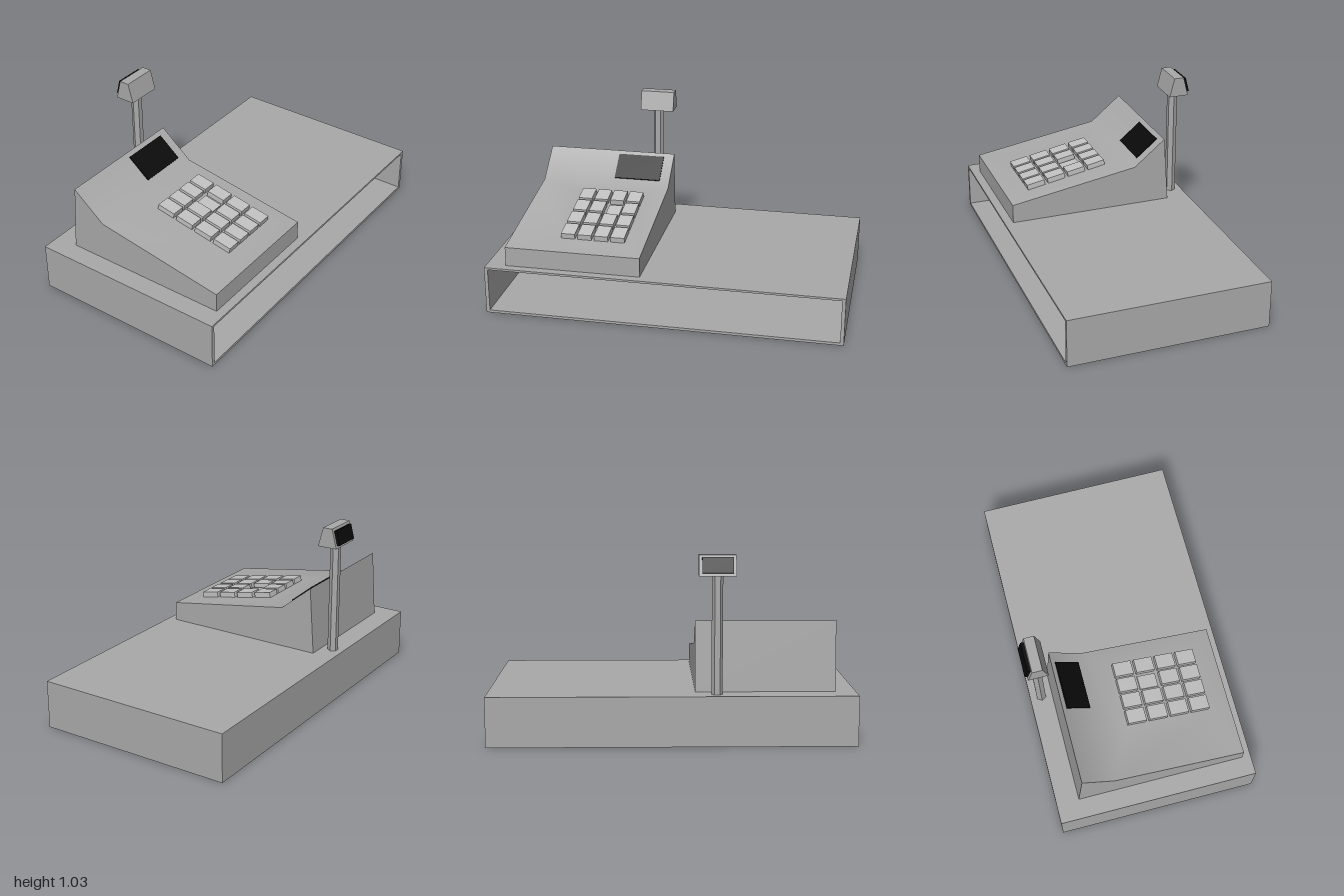
import * as THREE from 'three';

const DS = THREE.DoubleSide;

function mesh(name, geometry, material, x = 0, y = 0, z = 0) {
  const m = new THREE.Mesh(geometry, material);
  m.name = name;
  m.position.set(x, y, z);
  return m;
}

// Prism along x from a side profile of [z, y] points
function sideExtrude(profile, x0, x1) {
  const shape = new THREE.Shape(profile.map(([z, y]) => new THREE.Vector2(-z, y)));
  const g = new THREE.ExtrudeGeometry(shape, { depth: x1 - x0, bevelEnabled: false });
  return g.rotateY(Math.PI / 2).translate(x0, 0, 0);
}

// Surface from corner points and counter-clockwise quads
function quadSurface(points, quads) {
  const g = new THREE.BufferGeometry();
  g.setAttribute('position', new THREE.Float32BufferAttribute(points.flat(), 3));
  g.setIndex(quads.flatMap(([a, b, c, d]) => [a, b, c, a, c, d]));
  g.computeVertexNormals();
  return g;
}

export function createModel() {
  const body = new THREE.MeshStandardMaterial({ color: 0xa9a9a9 });
  body.name = 'body grey';
  body.side = DS;
  const keyGrey = new THREE.MeshStandardMaterial({ color: 0xc2c2c2 });
  keyGrey.name = 'key grey';
  const black = new THREE.MeshStandardMaterial({ color: 0x0a0a0a });
  black.name = 'screen black';

  const model = new THREE.Group();
  model.name = 'cashRegister';

  // Base: hollow casing, open at the front
  const W = 1, H = 0.275, D = 0.572, t = 0.02;
  const casing = new THREE.Group();
  casing.name = 'drawerCasing';
  const outline = new THREE.Shape([[-W, 0], [W, 0], [W, H], [-W, H]].map(p => new THREE.Vector2(...p)));
  outline.holes.push(new THREE.Path(
    [[-W + t, 0.015], [-W + t, H - 0.012], [W - t, H - 0.012], [W - t, 0.015]].map(p => new THREE.Vector2(...p))));
  casing.add(mesh('casingShell',
    new THREE.ExtrudeGeometry(outline, { depth: 2 * D, bevelEnabled: false }), body, 0, 0, -D));
  casing.add(mesh('casingBack',
    new THREE.BoxGeometry(2 * (W - t), H - 0.027, t), body, 0, H / 2 + 0.0015, -D + t / 2));
  model.add(casing);

  // Register housing: flat walls
  const x0 = -0.89, x1 = -0.125;
  const profile = [[0.522, H], [0.522, 0.385], [-0.23, 0.51], [-0.415, 0.662], [-0.443, H]];
  const housing = new THREE.Group();
  housing.name = 'registerHousing';
  const wall = new THREE.ShapeGeometry(new THREE.Shape(profile.map(([z, y]) => new THREE.Vector2(-z, y))));
  wall.rotateY(Math.PI / 2);
  for (const x of [x0, x1]) housing.add(mesh('sideWall', wall, body, x));
  const across = ([z, y]) => [[x0, y, z], [x1, y, z]];
  const panel = (name, a, b) =>
    housing.add(mesh(name, quadSurface([...across(a), ...across(b)], [[0, 1, 3, 2]]), body));
  panel('frontWall', profile[0], profile[1]);
  panel('backWall', profile[3], profile[4]);

  // Smooth deck rising to the keypad bed, then to the screen slope
  const k0 = -0.61, k1 = -0.23;
  const deck = [
    ...across(profile[1]), ...across(profile[2]), ...across(profile[3]),
    [k0, 0.411, 0.4], [k1, 0.411, 0.4], [k0, 0.506, -0.09], [k1, 0.506, -0.09],
  ];
  housing.add(mesh('deck', quadSurface(deck, [
    [0, 1, 7, 6], [1, 3, 9, 7], [3, 2, 8, 9], [2, 0, 6, 8], [6, 7, 9, 8], [2, 3, 5, 4],
  ]), body));
  model.add(housing);

  // Keypad: four by four keys, one pressed in
  const keypad = new THREE.Group();
  keypad.name = 'keypad';
  keypad.position.set(-0.42, 0.4585, 0.156);
  keypad.rotation.x = 0.19;
  const keyGeo = new THREE.BoxGeometry(0.079, 0.034, 0.107);
  for (let r = 0; r < 4; r++) {
    for (let c = 0; c < 4; c++) {
      const pressed = r === 1 && c === 2;
      keypad.add(mesh('key', keyGeo, keyGrey,
        (c - 1.5) * 0.0945, pressed ? -0.008 : 0.014, (r - 1.5) * 0.126));
    }
  }
  model.add(keypad);

  // Operator screen lying on the slope
  const screen = mesh('operatorScreen', new THREE.BoxGeometry(0.275, 0.009, 0.166), black, -0.322, 0.5935, -0.327);
  screen.rotation.x = Math.atan2(0.152, 0.185);
  model.add(screen);

  // Customer display on a six-sided pole, facing the back
  const display = new THREE.Group();
  display.name = 'customerDisplay';
  display.add(mesh('pole',
    new THREE.CylinderGeometry(0.03, 0.03, 0.71, 6, 1, false, Math.PI / 2).toNonIndexed(),
    body, -0.24, 0.565, -0.507));
  display.children[0].geometry.computeVertexNormals();
  display.add(mesh('displayHead',
    sideExtrude([[-0.45, 0.917], [-0.479, 1.028], [-0.535, 1.028], [-0.564, 0.917]], -0.338, -0.14), body));
  const customerScreen = mesh('customerScreen', new THREE.BoxGeometry(0.165, 0.085, 0.02), black,
    -0.239, 0.974, -0.557);
  customerScreen.rotation.x = Math.atan2(0.029, 0.111);
  display.add(customerScreen);
  model.add(display);

  return model;
}
